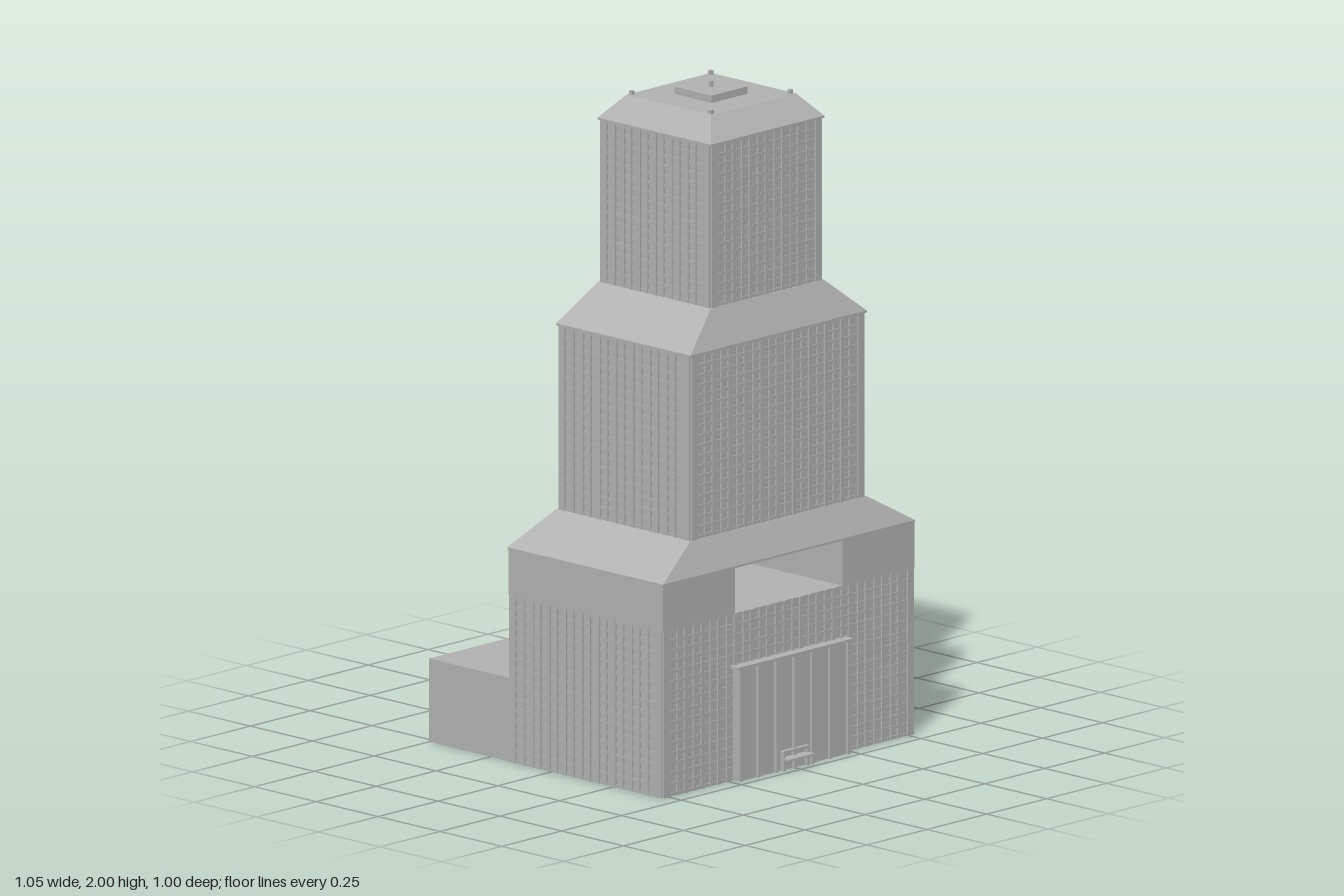
import * as THREE from 'three';
import { mergeGeometries } from 'three/addons/utils/BufferGeometryUtils.js';

const stone = new THREE.MeshStandardMaterial({ color: 0xb2b2b2, side: THREE.DoubleSide });
stone.name = 'stone grey';

// Box geometry from its minimum and maximum corners
function block(x0, x1, y0, y1, z0, z1) {
  return new THREE.BoxGeometry(x1 - x0, y1 - y0, z1 - z0)
    .translate((x0 + x1) / 2, (y0 + y1) / 2, (z0 + z1) / 2);
}

// Flat-shaded geometry from four-cornered faces, corners counter-clockwise
function quads(faces) {
  const points = [];
  for (const [a, b, c, d] of faces) points.push(...a, ...b, ...c, ...a, ...c, ...d);
  const geometry = new THREE.BufferGeometry();
  geometry.setAttribute('position', new THREE.Float32BufferAttribute(points, 3));
  geometry.computeVertexNormals();
  return geometry;
}

// Closed stack of rectangular cross-sections: { y, x (half width), z0 (back), z1 (front) }
function stack(sections) {
  const rings = sections.map(({ y, x, z0, z1 }) =>
    [[-x, y, z1], [x, y, z1], [x, y, z0], [-x, y, z0]]);
  const faces = [[...rings[0]].reverse(), rings[rings.length - 1]];
  for (let i = 0; i + 1 < rings.length; i++) {
    for (let k = 0; k < 4; k++) {
      const n = (k + 1) % 4;
      faces.push([rings[i][k], rings[i][n], rings[i + 1][n], rings[i + 1][k]]);
    }
  }
  return quads(faces);
}

// Window grid facing +z on a wall of the given width: corner piers, fins and sills
function windowGrid(width, y0, y1) {
  const half = width / 2, pier = 0.025, depth = 0.006;
  const parts = [];
  for (const s of [-1, 1]) {
    const a = s * half, b = s * (half - pier);
    parts.push(block(Math.min(a, b), Math.max(a, b), y0, y1, 0, depth));
  }
  const inner = half - pier;
  const columns = Math.round(2 * inner / 0.034);
  for (let i = 1; i < columns; i++) {
    const x = -inner + 2 * inner * i / columns;
    const w = i % 2 ? 0.003 : 0.006;
    parts.push(block(x - w, x + w, y0, y1, 0, depth));
  }
  const rows = Math.round((y1 - y0) / 0.031);
  for (let j = 0; j <= rows; j++) {
    const y = y0 + (y1 - y0 - 0.01) * j / rows;
    parts.push(block(-inner, inner, y, y + 0.01, 0, 0.003));
  }
  return mergeGeometries(parts);
}

export function createModel() {
  const model = new THREE.Group();
  const add = (name, geometry, parent = model) => {
    const mesh = new THREE.Mesh(geometry, stone);
    mesh.name = name;
    parent.add(mesh);
    return mesh;
  };

  // Window grids on the four walls of a storey block
  function addWindows(name, x, z0, z1, y0, y1, backY0 = y0) {
    const group = new THREE.Group();
    group.name = name;
    const mid = (z0 + z1) / 2;
    add('frontWindows', windowGrid(2 * x, y0, y1), group).position.z = z1;
    const back = add('backWindows', windowGrid(2 * x, backY0, y1), group);
    back.position.z = z0;
    back.rotation.y = Math.PI;
    for (const s of [1, -1]) {
      const side = add(s > 0 ? 'leftWindows' : 'rightWindows', windowGrid(z1 - z0, y0, y1), group);
      side.position.set(s * x, 0, mid);
      side.rotation.y = s * Math.PI / 2;
    }
    model.add(group);
  }

  // Base and rear annex: one shell, open underneath, from a stepped side profile [z, y]
  const X = 0.521;
  const profile = [[0.445, 0], [0.445, 0.5], [-0.17, 0.5], [-0.17, 0.25], [-0.5, 0.25], [-0.5, 0]];
  const strip = [];
  for (let i = 0; i + 1 < profile.length; i++) {
    const [za, ya] = profile[i], [zb, yb] = profile[i + 1];
    strip.push([[-X, ya, za], [X, ya, za], [X, yb, zb], [-X, yb, zb]]);
  }
  for (const s of [1, -1]) {
    for (const [back, front, top] of [[-0.17, 0.445, 0.5], [-0.5, -0.17, 0.25]]) {
      const face = [[s * X, 0, front], [s * X, 0, back], [s * X, top, back], [s * X, top, front]];
      strip.push(s > 0 ? face : face.reverse());
    }
  }
  add('baseAndAnnex', quads(strip));
  addWindows('baseWindows', X, -0.17, 0.445, 0, 0.5, 0.25);

  // Plain upper storey in two halves with an open passage between them
  for (const s of [1, -1]) {
    const xs = [s * 0.225, s * 0.525].sort((a, b) => a - b);
    add(s > 0 ? 'leftUpperBlock' : 'rightUpperBlock', block(xs[0], xs[1], 0.5, 0.64, -0.175, 0.45));
  }

  // Sloping roofs, each with a thin eave
  add('lowerRoof', stack([
    { y: 0.636, x: 0.526, z0: -0.178, z1: 0.451 },
    { y: 0.642, x: 0.526, z0: -0.178, z1: 0.451 },
    { y: 0.735, x: 0.368, z0: -0.134, z1: 0.408 }]));
  add('middleRoof', stack([
    { y: 1.286, x: 0.368, z0: -0.134, z1: 0.409 },
    { y: 1.292, x: 0.368, z0: -0.134, z1: 0.409 },
    { y: 1.4, x: 0.236, z0: -0.092, z1: 0.363 }]));
  add('topRoof', stack([
    { y: 1.886, x: 0.237, z0: -0.093, z1: 0.364 },
    { y: 1.892, x: 0.237, z0: -0.093, z1: 0.364 },
    { y: 1.96, x: 0.177, z0: -0.035, z1: 0.308 }]));

  // Two tower sections
  add('middleTower', block(-0.36, 0.36, 0.73, 1.29, -0.127, 0.401));
  addWindows('middleWindows', 0.36, -0.127, 0.401, 0.735, 1.288);
  add('upperTower', block(-0.229, 0.229, 1.39, 1.89, -0.085, 0.356));
  addWindows('upperWindows', 0.229, -0.085, 0.356, 1.4, 1.888);

  // Rooftop plant box, mast and corner lamps
  add('roofBox', block(-0.075, 0.075, 1.96, 1.982, 0.06, 0.21));
  add('mast', block(-0.005, 0.005, 1.98, 2, 0.13, 0.14));
  for (const x of [-0.165, 0.165]) {
    for (const z of [-0.025, 0.296]) {
      add('cornerLamp', block(x - 0.006, x + 0.006, 1.958, 1.972, z - 0.006, z + 0.006));
    }
  }

  // Entrance bay with cornice and upright ribs
  add('entranceBay', block(-0.23, 0.23, 0, 0.338, 0.445, 0.468));
  add('entranceCornice', block(-0.24, 0.24, 0.336, 0.345, 0.445, 0.48));
  for (let i = 0; i <= 6; i++) {
    const x = -0.225 + 0.075 * i;
    add('entranceRib', block(x - 0.005, x + 0.005, 0, 0.337, 0.466, 0.477));
  }

  // Doorway frame and its thin canopy
  for (const x of [-0.05, 0.05]) add('doorPost', block(x - 0.004, x + 0.004, 0, 0.06, 0.466, 0.482));
  add('doorLintel', block(-0.054, 0.054, 0.053, 0.06, 0.466, 0.482));
  add('doorCanopy', block(-0.054, 0.054, 0.034, 0.039, 0.466, 0.504));

  return model;
}
